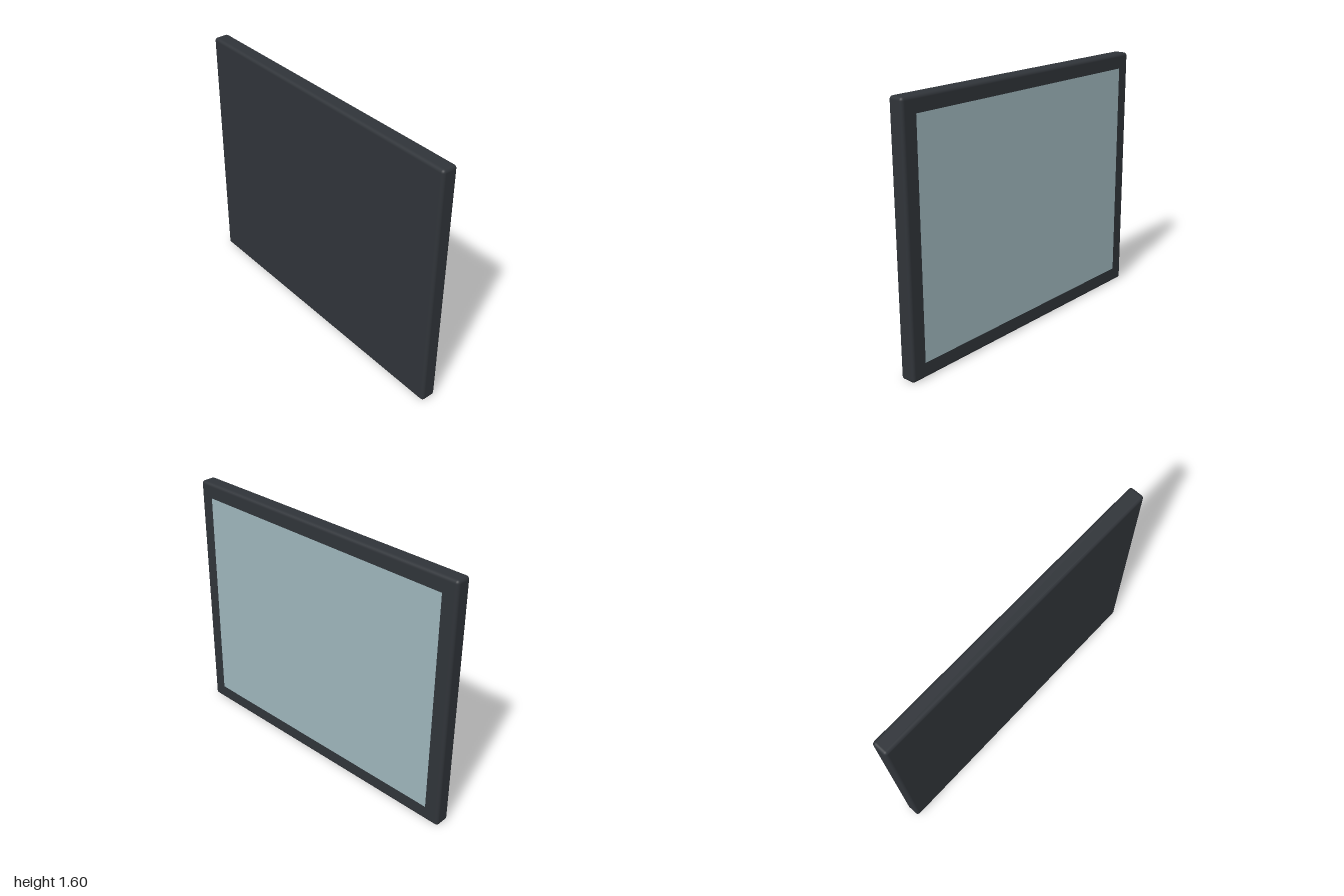
import * as THREE from 'three';
import { RoundedBoxGeometry } from 'three/addons/geometries/RoundedBoxGeometry.js';

const WIDTH = 2, HEIGHT = 1.6, DEPTH = 0.1, EDGE = 0.02, MARGIN = 0.095;

function addPart(group, name, geometry, color) {
  const material = new THREE.MeshStandardMaterial();
  material.color.set(color);
  const mesh = new THREE.Mesh(geometry, material);
  mesh.name = name;
  group.add(mesh);
  return mesh;
}

export function createModel() {
  const model = new THREE.Group();
  model.name = 'flatPanel';

  // Dark slab with softly rounded edges
  const casing = addPart(model, 'casing', new RoundedBoxGeometry(WIDTH, HEIGHT, DEPTH, 3, EDGE), 0x303439);
  casing.position.y = HEIGHT / 2;

  // Pale screen lying flush on the back face, just proud of it
  const screen = addPart(model, 'screen',
    new THREE.PlaneGeometry(WIDTH - 2 * MARGIN, HEIGHT - 2 * MARGIN), 0x9db5bb);
  screen.rotation.y = Math.PI;
  screen.position.set(0, HEIGHT / 2, -DEPTH / 2 - 0.001);

  return model;
}
